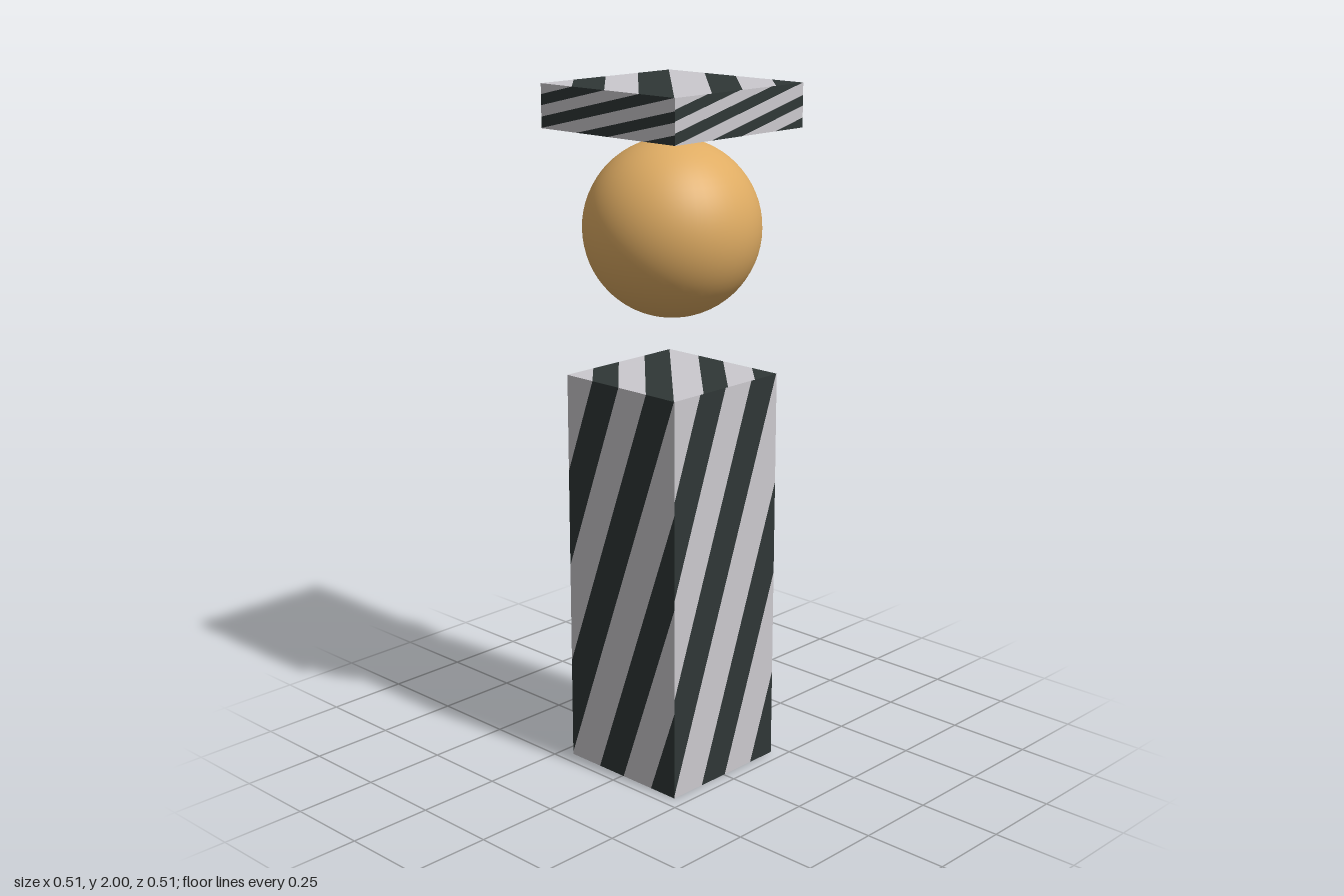
import * as THREE from 'three';

// Box faces as [across, up] axes; the normal is across x up
const FACES = [
  [[1, 0, 0], [0, 1, 0]], [[0, 0, -1], [0, 1, 0]],
  [[-1, 0, 0], [0, 1, 0]], [[0, 0, 1], [0, 1, 0]],
  [[1, 0, 0], [0, 0, -1]], [[1, 0, 0], [0, 0, 1]],
].map(f => f.map(a => new THREE.Vector3(...a)));

// Band edges along (u - v) across a unit face; bands alternate pale, dark
const EDGES = [-1, -0.757, -0.512, -0.258, -0.006, 0.274, 0.51, 0.777, 1];

// Part of the unit square where c0 <= u - v <= c1, counter-clockwise
function bandPolygon(c0, c1) {
  const start = c => [Math.max(c, 0), Math.max(-c, 0)];
  const end = c => [Math.min(1, 1 + c), Math.min(1, 1 - c)];
  const spans = c0 < 0 && c1 > 0;
  return [start(c0), ...(spans ? [[0, 0]] : []), start(c1),
    end(c1), ...(spans ? [[1, 1]] : []), end(c0)];
}

// All the bands of one colour (parity 0 or 1) on a box
function bandGeometry(width, height, parity) {
  const size = new THREE.Vector3(width, height, width);
  const positions = [], normals = [];
  for (const [across, up] of FACES) {
    const normal = across.clone().cross(up);
    for (let i = parity; i < EDGES.length - 1; i += 2) {
      const points = bandPolygon(EDGES[i], EDGES[i + 1]).map(([u, v]) =>
        normal.clone().multiplyScalar(0.5)
          .addScaledVector(across, u - 0.5)
          .addScaledVector(up, v - 0.5)
          .multiply(size));
      for (let k = 1; k < points.length - 1; k++) {
        for (const p of [points[0], points[k], points[k + 1]]) {
          positions.push(p.x, p.y, p.z);
          normals.push(normal.x, normal.y, normal.z);
        }
      }
    }
  }
  const geometry = new THREE.BufferGeometry();
  geometry.setAttribute('position', new THREE.Float32BufferAttribute(positions, 3));
  geometry.setAttribute('normal', new THREE.Float32BufferAttribute(normals, 3));
  return geometry;
}

export function createModel() {
  const material = (name, color) => {
    const m = new THREE.MeshStandardMaterial({ color });
    m.name = name;
    return m;
  };
  const pale = material('pale grey', 0xcbc9ce);
  const dark = material('dark slate', 0x2f3736);
  const tan = material('warm tan', 0xdfac63);

  const model = new THREE.Group();
  model.name = 'stripedPillarWithBall';

  const stripedBox = (name, width, bottom, top) => {
    const box = new THREE.Group();
    box.name = name;
    [pale, dark].forEach((mat, parity) => {
      const mesh = new THREE.Mesh(bandGeometry(width, top - bottom, parity), mat);
      mesh.name = name + (parity ? 'DarkStripes' : 'PaleStripes');
      box.add(mesh);
    });
    box.position.y = (bottom + top) / 2;
    model.add(box);
  };

  // Tall body and flat cap
  stripedBox('body', 0.421, 0, 1.18);
  stripedBox('cap', 0.506, 1.878, 2);

  // Floating ball head
  const head = new THREE.Mesh(new THREE.SphereGeometry(0.251, 48, 32), tan);
  head.name = 'head';
  head.position.y = 1.602;
  model.add(head);

  return model;
}
